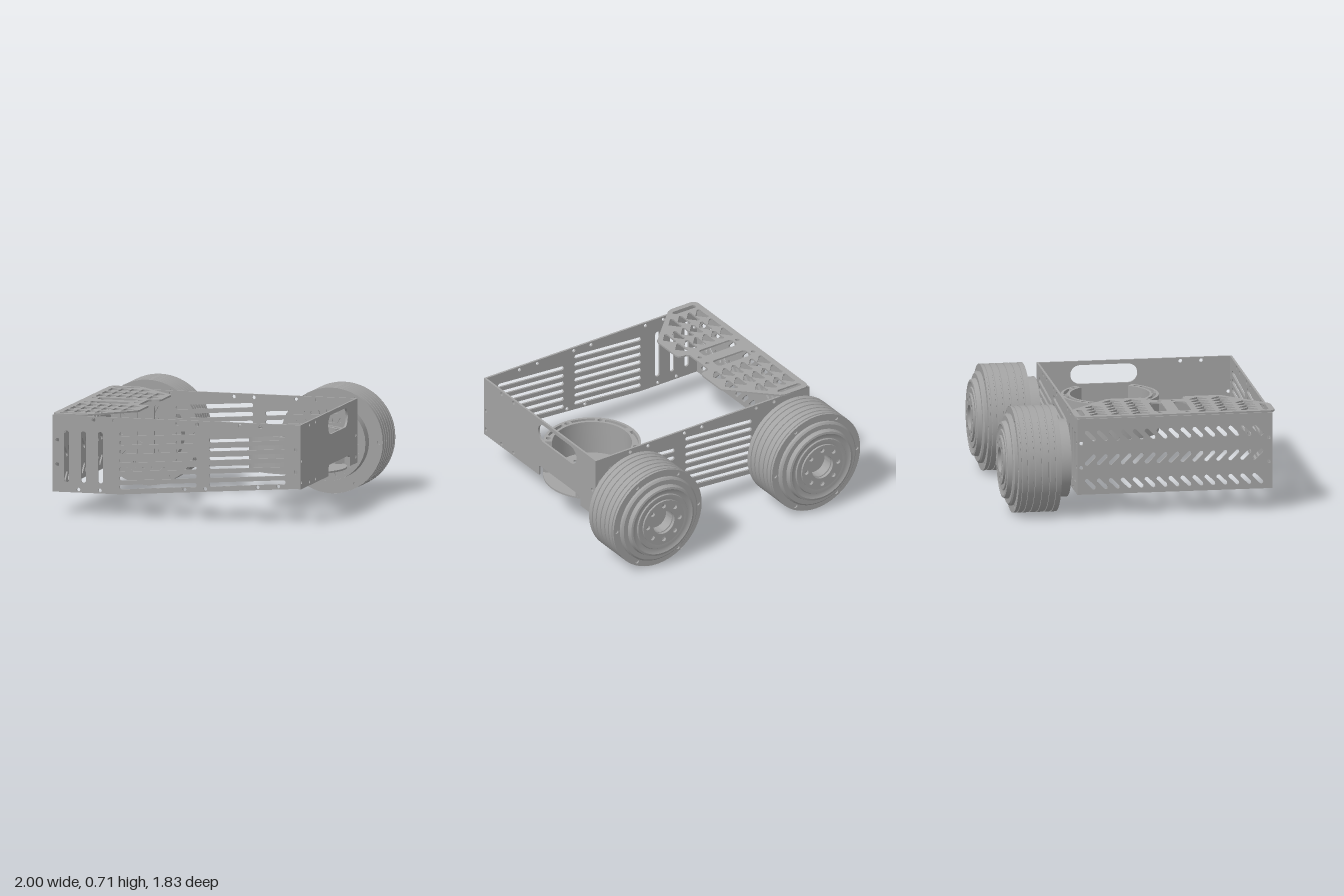
import * as THREE from 'three';
import { toCreasedNormals } from 'three/addons/utils/BufferGeometryUtils.js';

const RAD = Math.PI / 180;

// ---------- outline helpers ----------
const poly = pts => new THREE.Shape(pts.map(p => new THREE.Vector2(p[0], p[1])));
const hole = (x, y, r) => new THREE.Path().absarc(x, y, r, 0, Math.PI * 2, false);
const disc = (x, y, r) => new THREE.Shape().absarc(x, y, r, 0, Math.PI * 2, false);

// Round-ended slot between two points
function slot(x1, y1, x2, y2, r) {
  const a = Math.atan2(y2 - y1, x2 - x1), q = Math.PI / 2;
  const p = new THREE.Path();
  p.absarc(x2, y2, r, a - q, a + q, false);
  p.absarc(x1, y1, r, a + q, a + 3 * q, false);
  p.closePath();
  return p;
}

// Round-ended chevron pointing to +x
function chevron(tx, ty, a, b, h) {
  const al = Math.atan2(b, a), q = Math.PI / 2, d = h / Math.sin(al);
  const p = new THREE.Path();
  p.moveTo(tx - d, ty);
  p.absarc(tx - a, ty - b, h, al + q, al + 3 * q, false);
  p.lineTo(tx + d, ty);
  p.absarc(tx - a, ty + b, h, -al + q, -al + 3 * q, false);
  p.closePath();
  return p;
}

function roundRect(x1, y1, x2, y2, r) {
  const p = new THREE.Path();
  p.absarc(x2 - r, y2 - r, r, 0, 90 * RAD, false);
  p.absarc(x1 + r, y2 - r, r, 90 * RAD, 180 * RAD, false);
  p.absarc(x1 + r, y1 + r, r, 180 * RAD, 270 * RAD, false);
  p.absarc(x2 - r, y1 + r, r, 270 * RAD, 360 * RAD, false);
  p.closePath();
  return p;
}

export function createModel() {
  const metal = new THREE.MeshStandardMaterial({ color: 0xa3a3a3, side: THREE.DoubleSide });
  const model = new THREE.Group();
  model.name = 'robotChassis';

  const add = (parent, geo, name) => {
    const m = new THREE.Mesh(geo, metal);
    m.name = name;
    parent.add(m);
    return m;
  };
  const extrude = (shape, depth, seg = 6) => toCreasedNormals(
    new THREE.ExtrudeGeometry(shape, { depth, bevelEnabled: false, curveSegments: seg }), 0.6);
  const T = 0.014;

  // ---------- front and back panels with slanted louvre slots ----------
  const side = poly([[-0.87, 0.15], [-0.4, 0.15], [0.86, 0.24], [0.86, 0.668], [-0.87, 0.668]]);
  for (const x of [-0.773, -0.655, -0.537]) side.holes.push(slot(x, 0.235, x, 0.547, 0.018));
  const louvreY = (x, k) => 0.555 + 0.07 * (x + 0.41) - 0.0597 * k;
  for (let k = 0; k < 7; k++) {
    side.holes.push(slot(-0.39, louvreY(-0.39, k), 0.12, louvreY(0.12, k), 0.015));
    if (k) side.holes.push(slot(0.235, louvreY(0.235, k), 0.74, louvreY(0.74, k), 0.015));
  }
  for (const x of [-0.585, -0.44, 0, 0.14, 0.436, 0.58]) side.holes.push(hole(x, 0.645, 0.013));
  for (const [x, y] of [[-0.69, 0.17], [-0.54, 0.17], [0.05, 0.203], [0.195, 0.212], [0.56, 0.238],
    [0.705, 0.25], [0.826, 0.5], [0.826, 0.35], [-0.837, 0.5], [-0.837, 0.335]]) side.holes.push(hole(x, y, 0.013));
  const sideGeo = extrude(side, T);
  add(model, sideGeo, 'frontPanel').position.z = 0.89 - T;
  add(model, sideGeo, 'backPanel').position.z = -0.432;

  // ---------- end panels, drawn as (z, y) ----------
  const endPanel = (shape, x, name) => {
    const m = add(model, extrude(shape, T), name);
    m.rotation.y = -Math.PI / 2;
    m.position.x = x;
  };
  const leftEnd = poly([[-0.43, 0.235], [-0.25, 0.235], [-0.25, 0.295], [-0.235, 0.31], [0.225, 0.31],
    [0.24, 0.295], [0.24, 0.235], [0.89, 0.235], [0.89, 0.668], [-0.43, 0.668]]);
  leftEnd.holes.push(slot(-0.14, 0.576, 0.185, 0.576, 0.065));
  for (const z of [0.68, 0.54]) for (const y of [0.645, 0.26]) leftEnd.holes.push(hole(z, y, 0.013));
  for (const z of [0.865, -0.39]) for (const y of [0.425, 0.28]) leftEnd.holes.push(hole(z, y, 0.013));
  endPanel(leftEnd, 0.86, 'leftEndPanel');

  const rightEnd = poly([[-0.43, 0.15], [0.89, 0.15], [0.89, 0.668], [-0.43, 0.668]]);
  [0.22, 0.385, 0.55].forEach((y, row) => {
    const s = row === 1 ? -1 : 1;
    for (let i = 0; i < 15; i++) {
      const z = 0.79 - i * 0.081;
      rightEnd.holes.push(slot(z + 0.023 * s, y - 0.023, z - 0.023 * s, y + 0.023, 0.014));
    }
  });
  for (const z of [0.865, -0.405]) for (const y of [0.5, 0.335]) rightEnd.holes.push(hole(z, y, 0.013));
  endPanel(rightEnd, -0.87 + T, 'rightEndPanel');

  // ---------- flat parts, drawn as (x, z) and extruded down from y ----------
  const flat = (shape, top, depth, name, seg) => {
    const m = add(model, extrude(shape, depth, seg), name);
    m.rotation.x = Math.PI / 2;
    m.position.y = top;
  };

  // Top plate, symmetric about its own middle
  const mid = 0.2325;
  const half = [[-0.866, -0.405], [-0.855, -0.433], [-0.828, -0.444], [-0.67, -0.444], [-0.635, -0.43],
    [-0.363, -0.16], [-0.353, -0.135], [-0.353, 0.075], [-0.363, 0.1], [-0.385, 0.107], [-0.415, 0.107], [-0.433, 0.125]];
  const deck = poly([...half, ...half.map(([x, z]) => [x, 2 * mid - z]).reverse()]);
  for (const s of [-1, 1]) {
    const z = v => mid + s * v;
    deck.holes.push(slot(-0.812, z(0.62), -0.665, z(0.62), 0.018));
    deck.holes.push(roundRect(-0.775, Math.min(z(0.04), z(0.124)), -0.508, Math.max(z(0.04), z(0.124)), 0.025));
    deck.holes.push(hole(-0.807, z(0.093), 0.015), hole(-0.47, z(0.045), 0.015));
    [[0.222, 6], [0.366, 6], [0.51, 4]].forEach(([v, n]) => {
      for (let i = 0; i < n; i++) deck.holes.push(chevron(-0.772 + i * 0.0725, z(v), 0.04, 0.045, 0.014));
    });
  }
  flat(deck, 0.681, 0.012, 'topPlate');

  // Turntable: drilled base disc and an open C-shaped wall
  const CX = 0.58, CZ = 0.02;
  const polar = (r, deg) => [CX + r * Math.cos(deg * RAD), CZ + r * Math.sin(deg * RAD)];
  const boltAngles = [45, 90, 135, 225, 270, 315];
  const boltHoles = shape => boltAngles.forEach(a => shape.holes.push(hole(...polar(0.297, a), 0.017)));

  const base = disc(CX, CZ, 0.328);
  base.holes.push(hole(CX, CZ, 0.087));
  for (const a of [0, 90, 180, 270]) base.holes.push(hole(...polar(0.187, a), 0.018), hole(...polar(0.144, a), 0.009));
  boltHoles(base);
  flat(base, 0.262, 0.012, 'turntableBase', 24);

  const wallShape = () => {
    const s = new THREE.Shape();
    s.absarc(CX, CZ, 0.328, 36 * RAD, 324 * RAD, false);
    s.absarc(CX, CZ, 0.267, 324 * RAD, 36 * RAD, true);
    s.closePath();
    boltHoles(s);
    return s;
  };
  flat(wallShape(), 0.475, 0.213, 'turntableWall', 24);
  const rim = wallShape();
  for (const [a, b] of [[52, 83], [97, 128], [142, 175], [185, 218], [232, 263], [277, 308]]) {
    const p = new THREE.Path();
    p.absarc(CX, CZ, 0.31, a * RAD, b * RAD, false);
    p.absarc(CX, CZ, 0.285, b * RAD, a * RAD, true);
    p.closePath();
    rim.holes.push(p);
  }
  flat(rim, 0.5, 0.025, 'turntableRim', 24);

  // ---------- wheels: profiles as (radius, distance behind centre) ----------
  const lathe = pts => {
    const g = new THREE.LatheGeometry(pts.map(p => new THREE.Vector2(p[0], p[1])), 64);
    g.rotateX(-Math.PI / 2);
    return toCreasedNormals(g, 0.5);
  };
  const tread = [[0.357, 0.555]];
  for (const w of [0.595, 0.64, 0.69, 0.74, 0.785, 0.825])
    tread.push([0.357, w - 0.006], [0.35, w - 0.004], [0.35, w + 0.004], [0.357, w + 0.006]);
  tread.push([0.357, 0.845]);
  const treadGeo = lathe(tread);
  const coreGeo = lathe([[0, 0.49], [0.25, 0.49], [0.25, 0.57], [0.35, 0.57], [0.35, 0.83], [0.307, 0.83],
    [0.307, 0.865], [0.295, 0.875], [0.262, 0.875], [0.254, 0.905], [0.24, 0.908], [0.225, 0.9],
    [0.205, 0.9], [0.2, 0.908], [0.17, 0.908], [0.085, 0.89], [0.085, 0.82], [0, 0.82]]);
  const motorGeo = lathe([[0.26, 0.475], [0.26, 0.555]]);

  const ring = (outer, inner, n, hr, r) => {
    const s = disc(0, 0, outer);
    s.holes.push(hole(0, 0, inner));
    for (let i = 0; i < n; i++) {
      const a = i / n * Math.PI * 2;
      s.holes.push(hole(hr * Math.cos(a), hr * Math.sin(a), r));
    }
    return s;
  };
  const wallGeo = extrude(ring(0.357, 0.25, 6, 0.33, 0.013), 0.012, 24);
  const hubGeo = extrude(ring(0.165, 0.085, 8, 0.128, 0.017), 0.02, 16);

  // Vented motor face
  const vents = ring(0.26, 0.06, 0);
  for (let i = 0; i < 24; i++) {
    const c = Math.cos(i * 15 * RAD), s = Math.sin(i * 15 * RAD);
    vents.holes.push(slot(0.15 * c, 0.15 * s, 0.225 * c, 0.225 * s, 0.011));
  }
  const ventGeo = extrude(vents, 0.012, 16);

  for (const s of [-1, 1]) {
    const wheel = new THREE.Group();
    wheel.name = s > 0 ? 'leftWheel' : 'rightWheel';
    wheel.position.set(0.642 * s, 0.357, 0);
    add(wheel, treadGeo, 'tread');
    add(wheel, coreGeo, 'wheelCore');
    add(wheel, motorGeo, 'motorHousing');
    add(wheel, ventGeo, 'motorFace').position.z = -0.487;
    add(wheel, wallGeo, 'innerSidewall').position.z = -0.567;
    add(wheel, wallGeo, 'outerSidewall').position.z = -0.845;
    add(wheel, hubGeo, 'hubPlate').position.z = -0.92;
    model.add(wheel);
  }
  return model;
}
